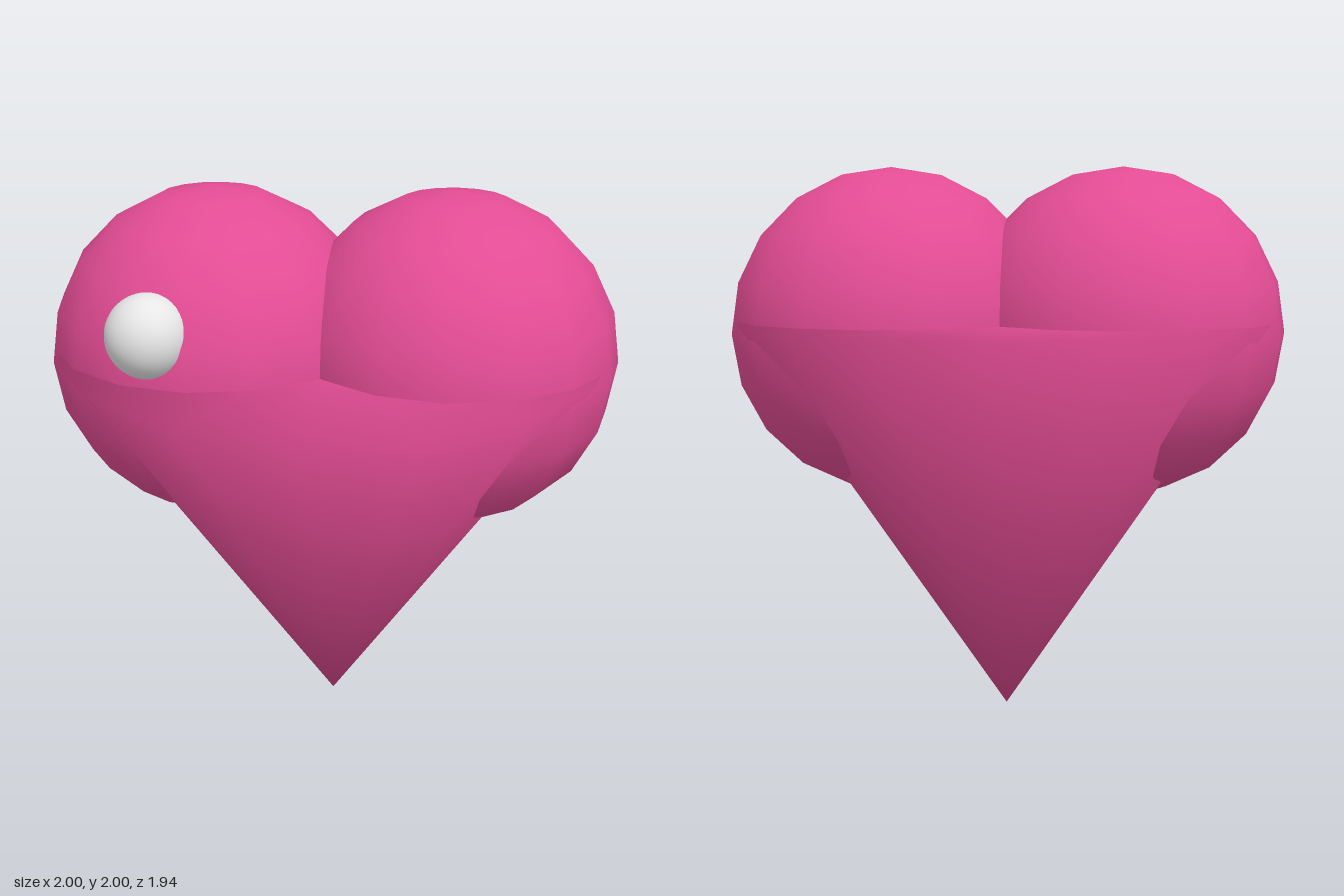
import * as THREE from 'three';
import { mergeVertices } from 'three/addons/utils/BufferGeometryUtils.js';

const pink = new THREE.MeshStandardMaterial({ name: 'pink', color: 0xe34c94 });
const white = new THREE.MeshStandardMaterial({ name: 'white', color: 0xe6e6e6 });

function addMesh(group, name, geometry, material, x, y, z) {
  const mesh = new THREE.Mesh(geometry, material);
  mesh.name = name;
  mesh.position.set(x, y, z);
  group.add(mesh);
  return mesh;
}

// Closed cone, point down, with normals smoothed across the rim
function pointGeometry(radius, height) {
  const cone = new THREE.CylinderGeometry(radius, 0, height, 16, 1);
  cone.deleteAttribute('uv');
  cone.deleteAttribute('normal');
  const welded = mergeVertices(cone, 1e-4);
  welded.computeVertexNormals();
  return welded;
}

export function createModel() {
  const heart = new THREE.Group();
  heart.name = 'heart';

  // Lower point of the heart
  addMesh(heart, 'heartPoint', pointGeometry(0.97, 1.46), pink, 0, 0.73, 0);

  // Two upper lobes
  const lobe = new THREE.SphereGeometry(0.585, 16, 10);
  for (const [name, side] of [['leftLobe', 1], ['rightLobe', -1]]) {
    addMesh(heart, name, lobe, pink, side * 0.415, 1.415, 0);
  }

  // Small highlight ball on the right lobe
  addMesh(heart, 'highlight', new THREE.SphereGeometry(0.14, 32, 20), white, -0.545, 1.615, 0.487);

  return heart;
}
